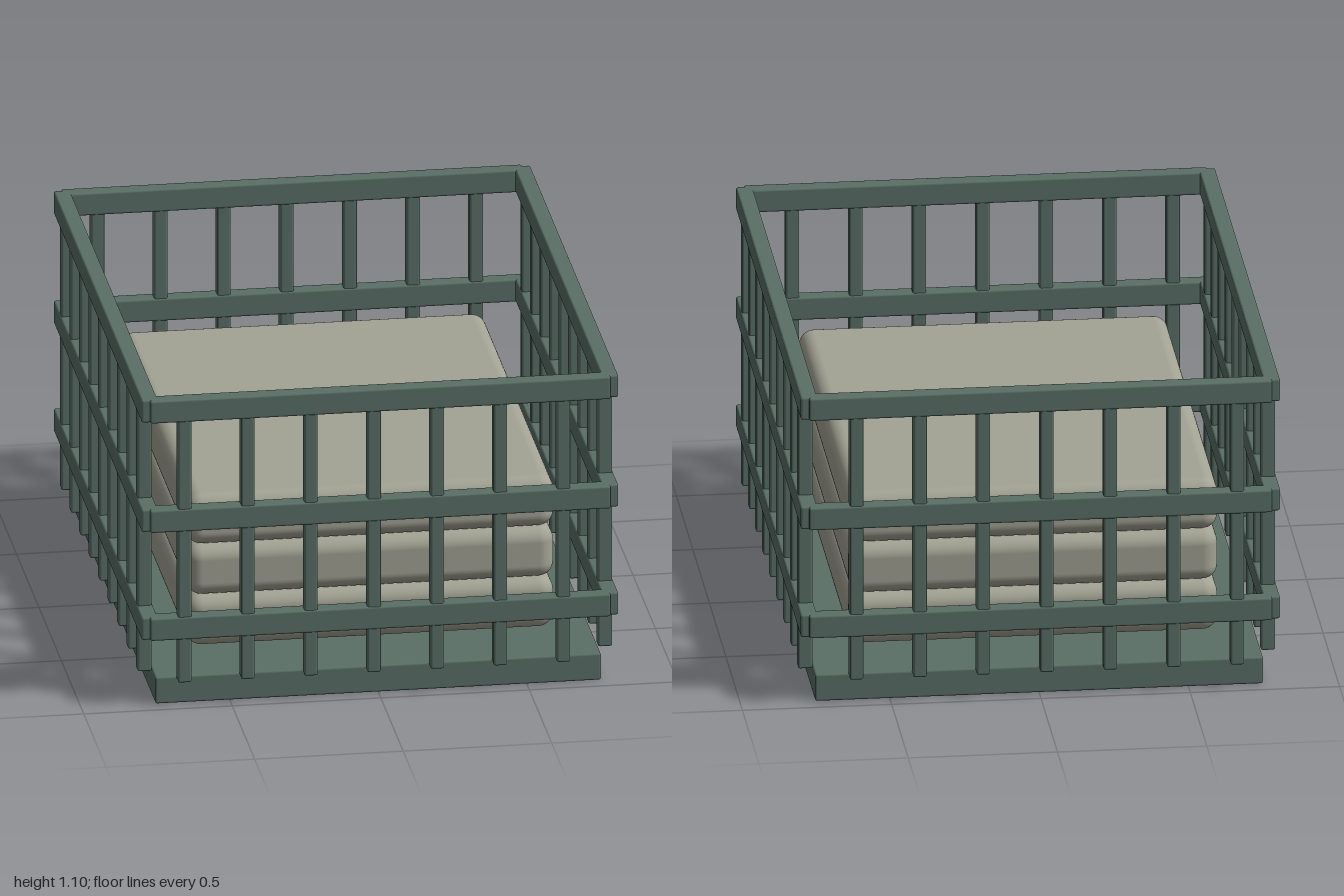
import * as THREE from 'three';
import { RoundedBoxGeometry } from 'three/addons/geometries/RoundedBoxGeometry.js';

const frameGreen = new THREE.MeshStandardMaterial({ color: 0x5a7067 });
frameGreen.name = 'frameGreen';
const cushionGrey = new THREE.MeshStandardMaterial({ color: 0xa3a394 });
cushionGrey.name = 'cushionGrey';

// Softly rounded box, centred at the given position
function block(name, size, position, material, radius = 0.007, segments = 2) {
  const mesh = new THREE.Mesh(new RoundedBoxGeometry(...size, segments, radius), material);
  mesh.name = name;
  mesh.position.set(...position);
  return mesh;
}

export function createModel() {
  const model = new THREE.Group();
  model.name = 'slattedCrate';

  // Floor panel
  model.add(block('base', [1.5, 0.095, 1.89], [0, 0.0475, 0], frameGreen));

  // Three rings of horizontal rails
  const rails = new THREE.Group();
  rails.name = 'rails';
  for (const y of [0.285, 0.67, 1.06]) {
    for (const side of [-1, 1]) {
      rails.add(block('crossRail', [1.55, 0.08, 0.055], [0, y, side * 0.9725], frameGreen));
      rails.add(block('sideRail', [0.055, 0.08, 1.972], [side * 0.775, y, 0], frameGreen));
    }
  }
  model.add(rails);

  // Upright slats, hanging just outside the floor panel
  const slats = new THREE.Group();
  slats.name = 'slats';
  const bottom = 0.09, top = 1.06, spacing = 0.2125;
  const height = top - bottom, midY = (top + bottom) / 2;
  for (const side of [-1, 1]) {
    for (let i = -3; i <= 3; i++) {
      slats.add(block('crossSlat', [0.045, height, 0.048], [i * spacing - 0.021, midY, side * 0.9725], frameGreen));
    }
    for (let i = -4; i <= 4; i++) {
      slats.add(block('sideSlat', [0.048, height, 0.045], [side * 0.775, midY, i * spacing], frameGreen));
    }
  }
  model.add(slats);

  // Stack of three soft cushions
  const cushions = new THREE.Group();
  cushions.name = 'cushions';
  for (let i = 0; i < 3; i++) {
    cushions.add(block('cushion', [1.235, 0.18, 1.585], [0, 0.22 + i * 0.18, 0], cushionGrey, 0.05, 5));
  }
  model.add(cushions);

  return model;
}
